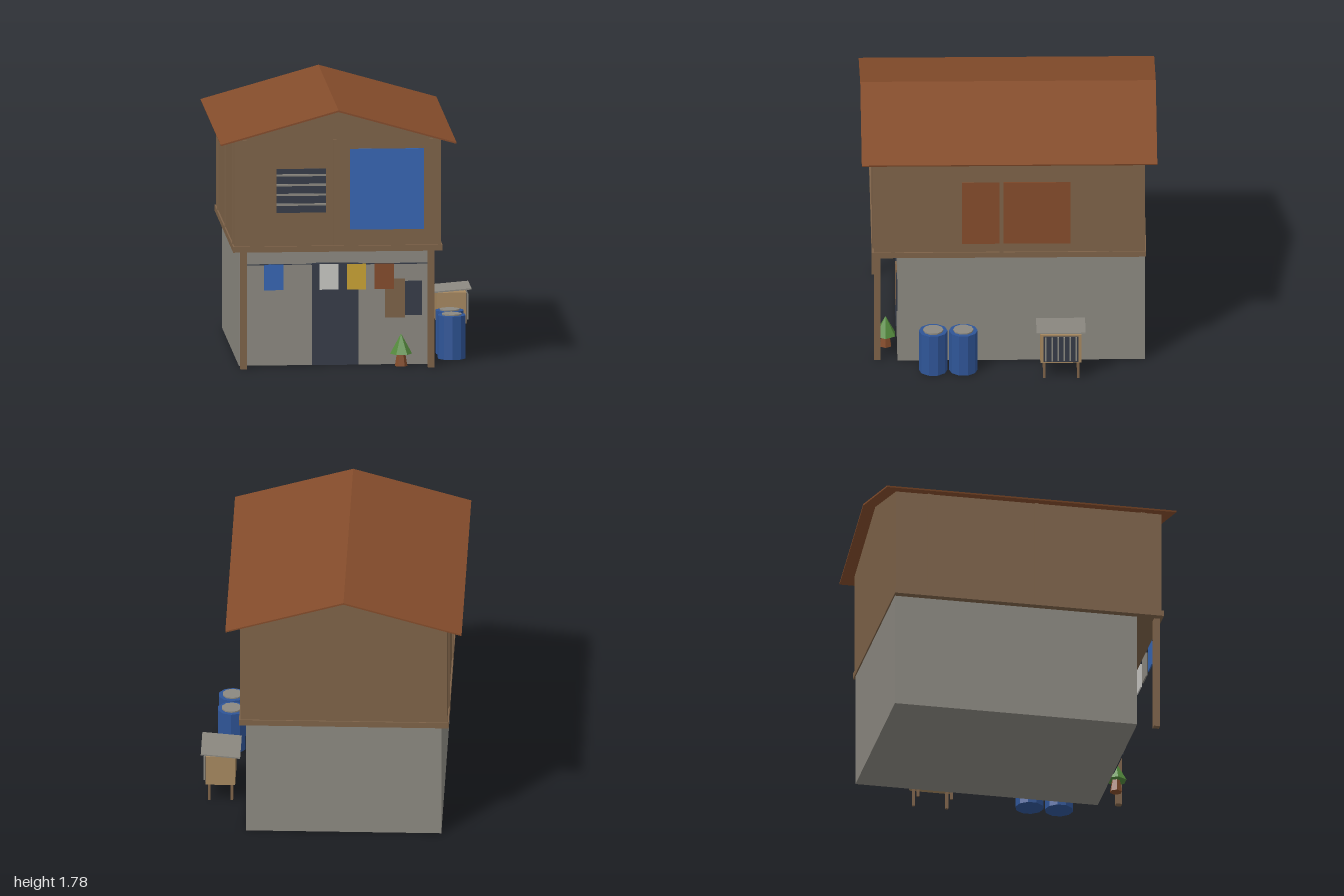
import * as THREE from 'three';

export function createModel() {
  const model = new THREE.Group();
  model.name = 'stiltHouse';

  const mat = (name, color) => {
    const m = new THREE.MeshStandardMaterial({ color });
    m.name = name;
    return m;
  };
  const wood = mat('brownWood', 0x7d6248);
  const paleWood = mat('paleWood', 0xa5875f);
  const rust = mat('rust', 0x844c2b);
  const concrete = mat('concrete', 0x8b8880);
  const dark = mat('darkOpening', 0x353b47);
  const blue = mat('tarpBlue', 0x3565b2);
  const drumBlue = mat('drumBlue', 0x2f5597);
  const white = mat('whiteCloth', 0xc8c7c3);
  const yellow = mat('yellowCloth', 0xc9a233);
  const green = mat('leafGreen', 0x548a3d);
  [drumBlue, green].forEach((m) => { m.flatShading = true; });

  const add = (name, geometry, material, parent = model) => {
    const mesh = new THREE.Mesh(geometry, material);
    mesh.name = name;
    parent.add(mesh);
    return mesh;
  };
  // Box given by its limits on each axis
  const box = (name, material, [x0, x1], [y0, y1], [z0, z1], parent = model) => {
    const mesh = add(name, new THREE.BoxGeometry(x1 - x0, y1 - y0, z1 - z0), material, parent);
    mesh.position.set((x0 + x1) / 2, (y0 + y1) / 2, (z0 + z1) / 2);
    return mesh;
  };
  const group = (name) => {
    const g = new THREE.Group();
    g.name = name;
    model.add(g);
    return g;
  };
  // Outline in x and y, extruded from z0 to z1
  const prism = (name, material, points, z0, z1) => {
    const shape = new THREE.Shape(points.map(([x, y]) => new THREE.Vector2(x, y)));
    const geometry = new THREE.ExtrudeGeometry(shape, { depth: z1 - z0, bevelEnabled: false });
    return add(name, geometry.translate(0, 0, z0), material);
  };

  // Main volumes
  const ridge = -0.095;
  box('lowerWalls', concrete, [-0.755, 0.568], [0, 0.81], [-0.917, 0.757]);
  prism('upperWalls', wood, [
    [-0.795, 0.805], [0.605, 0.805], [0.605, 1.562], [ridge, 1.765], [-0.795, 1.562],
  ], -0.917, 0.917);
  box('floorBand', wood, [-0.805, 0.615], [0.802, 0.842], [-0.926, 0.932]);
  prism('roof', rust, [
    [-0.892, 1.543], [ridge, 1.768], [0.702, 1.543], [0.705, 1.553], [ridge, 1.78], [-0.895, 1.553],
  ], -1, 1);

  // Porch posts
  for (const x of [-0.733, 0.538]) {
    box('porchPost', wood, [x - 0.022, x + 0.022], [0, 0.805], [0.873, 0.915]);
  }

  // Wall battens
  const battens = group('battens');
  for (const x of [-0.727, -0.114, 0.538]) {
    box('frontBatten', wood, [x - 0.012, x + 0.012], [0.84, 1.57], [0.91, 0.927], battens);
  }
  for (const z of [0.787, 0.053, -0.686]) {
    box('leftBatten', wood, [0.6, 0.614], [0.84, 1.562], [z - 0.013, z + 0.013], battens);
    box('rightBatten', wood, [-0.804, -0.79], [0.84, 1.562], [z - 0.013, z + 0.013], battens);
  }

  // Upper front window with slats, tarp and side patch
  box('louverWindow', dark, [-0.51, -0.175], [1.07, 1.37], [0.916, 0.924]);
  for (let i = 0; i < 4; i++) {
    const y = 1.127 + i * 0.067;
    box('louverSlat', concrete, [-0.51, -0.175], [y - 0.007, y + 0.007], [0.92, 0.936]);
  }
  box('tarp', blue, [-0.013, 0.488], [0.95, 1.503], [0.916, 0.923]);
  box('sidePatch', rust, [0.604, 0.61], [0.905, 1.37], [-0.415, 0.32]);

  // Lower front door, window and shutter
  box('door', dark, [-0.26, 0.055], [0, 0.7], [0.756, 0.763]);
  box('lowerWindow', dark, [0.3, 0.488], [0.337, 0.57], [0.756, 0.763]);
  box('shutter', wood, [0.237, 0.372], [0.32, 0.587], [0.758, 0.768]);

  // Clothesline
  const laundry = group('laundry');
  box('line', dark, [-0.715, 0.52], [0.708, 0.715], [0.891, 0.898], laundry);
  [blue, concrete, white, yellow, rust].forEach((m, i) => {
    const x = -0.527 + i * 0.187;
    box('cloth', m, [x - 0.065, x + 0.065], [0.537, 0.712], [0.89, 0.899], laundry);
  });

  // Potted bush
  const bush = group('bush');
  bush.position.set(0.34, 0, 0.835);
  const turn = Math.PI / 6;
  add('pot', new THREE.CylinderGeometry(0.028, 0.043, 0.09, 6).rotateY(turn).toNonIndexed(), rust, bush)
    .position.y = 0.045;
  bush.children[0].geometry.computeVertexNormals();
  add('leaves', new THREE.ConeGeometry(0.075, 0.138, 6).rotateY(turn), green, bush)
    .position.y = 0.153;

  // Water drums
  for (const z of [0.313, 0.517]) {
    const drum = group('waterDrum');
    drum.position.set(0.705, 0, z);
    add('drumBody', new THREE.CylinderGeometry(0.0975, 0.0975, 0.297, 10), drumBlue, drum)
      .position.y = 0.1485;
    add('drumLid', new THREE.CylinderGeometry(0.069, 0.069, 0.012, 10), concrete, drum)
      .position.y = 0.3;
  }

  // Raised coop
  const coop = group('coop');
  box('coopBody', paleWood, [0.655, 0.855], [0.122, 0.333], [-0.485, -0.206], coop);
  box('coopOpening', dark, [0.854, 0.861], [0.132, 0.322], [-0.465, -0.228], coop);
  for (let i = 0; i < 6; i++) {
    const z = -0.449 + i * 0.041;
    box('coopBar', concrete, [0.86, 0.87], [0.142, 0.32], [z - 0.005, z + 0.005], coop);
  }
  for (const x of [0.678, 0.832]) {
    for (const z of [-0.463, -0.232]) {
      box('coopLeg', wood, [x - 0.009, x + 0.009], [0, 0.125], [z - 0.009, z + 0.009], coop);
    }
  }
  const coopRoof = box('coopRoof', concrete, [0.62, 0.888], [0.346, 0.355], [-0.512, -0.18], coop);
  coopRoof.rotation.z = 0.085;

  return model;
}
